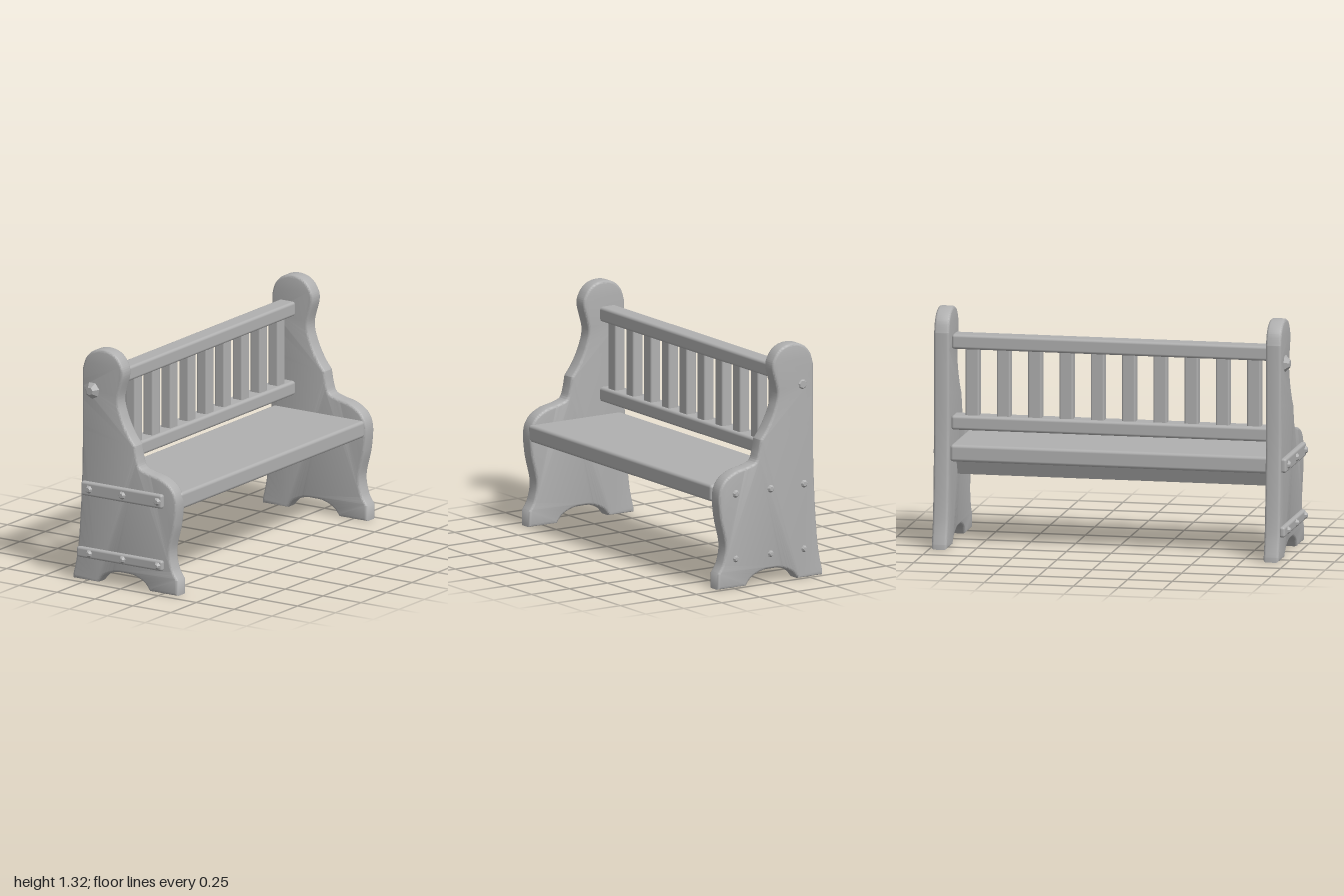
import * as THREE from 'three';
import { toCreasedNormals } from 'three/addons/utils/BufferGeometryUtils.js';
import { RoundedBoxGeometry } from 'three/addons/geometries/RoundedBoxGeometry.js';

const stone = new THREE.MeshStandardMaterial({ color: 0xb0b0b0 });
stone.name = 'plain grey';

function add(parent, name, geometry, x = 0, y = 0, z = 0) {
  const mesh = new THREE.Mesh(geometry, stone);
  mesh.name = name;
  mesh.position.set(x, y, z);
  parent.add(mesh);
  return mesh;
}

// Softly rounded beam given by its limits
function beam(parent, name, x0, x1, y0, y1, z0, z1, r = 0.012) {
  const geo = new RoundedBoxGeometry(x1 - x0, y1 - y0, z1 - z0, 2, r);
  return add(parent, name, geo, (x0 + x1) / 2, (y0 + y1) / 2, (z0 + z1) / 2);
}

// Scrolled side profile with a rounded head, arm rest and arched foot
function endPanelGeometry() {
  const s = new THREE.Shape();
  s.moveTo(-0.345, 0.003);
  s.lineTo(-0.345, 0.03);
  s.splineThru([[-0.318, 0.16], [-0.3, 0.36], [-0.287, 0.65], [-0.284, 1.0], [-0.284, 1.2]]
    .map(p => new THREE.Vector2(...p)));
  s.splineThru([[-0.262, 1.265], [-0.215, 1.31], [-0.145, 1.326], [-0.075, 1.308], [-0.03, 1.26],
    [-0.015, 1.195], [-0.047, 1.06], [-0.025, 0.96], [0.02, 0.87], [0.065, 0.81]]
    .map(p => new THREE.Vector2(...p)));
  s.splineThru([[0.078, 0.74], [0.098, 0.69], [0.15, 0.67], [0.235, 0.65], [0.305, 0.605],
    [0.337, 0.53], [0.328, 0.4], [0.295, 0.25], [0.31, 0.15], [0.345, 0.09]]
    .map(p => new THREE.Vector2(...p)));
  s.lineTo(0.345, 0.003);
  s.lineTo(0.16, 0.003);
  s.splineThru([[0.125, 0.045], [0.06, 0.074], [0, 0.079], [-0.07, 0.075], [-0.14, 0.045], [-0.18, 0.003]]
    .map(p => new THREE.Vector2(...p)));
  s.closePath();
  const geo = new THREE.ExtrudeGeometry(s, {
    depth: 0.056, curveSegments: 26, bevelEnabled: true,
    bevelThickness: 0.015, bevelSize: 0.015, bevelOffset: -0.015, bevelSegments: 3,
  });
  geo.translate(0, 0, -0.043);
  return toCreasedNormals(geo, 0.7);
}

// Faceted peg head pointing along +z
function peg(parent, x, y, z, radius, height) {
  const geo = new THREE.CylinderGeometry(radius * 0.45, radius, height, 7);
  geo.rotateX(Math.PI / 2);
  add(parent, 'pegHead', toCreasedNormals(geo, 0.5), x, y, z + height / 2);
}

export function createModel() {
  const model = new THREE.Group();
  model.name = 'bench';

  // Two end panels with their outer battens and pegs, mirrored by a half turn of z
  const panel = endPanelGeometry();
  for (const side of [1, -1]) {
    const end = new THREE.Group();
    end.name = side > 0 ? 'frontEnd' : 'backEnd';
    model.add(end);
    add(end, 'endPanel', panel, 0, 0, side * 0.928);
    const fittings = new THREE.Group();
    fittings.name = 'fittings';
    end.add(fittings);
    beam(fittings, 'seatBatten', -0.275, 0.26, 0.49, 0.57, 0.95, 0.985, 0.014);
    beam(fittings, 'footBatten', -0.305, 0.26, 0.135, 0.195, 0.95, 0.983, 0.014);
    for (const x of [-0.22, 0, 0.23]) {
      peg(fittings, x, 0.53, 0.98, 0.028, 0.018);
      peg(fittings, x, 0.165, 0.98, 0.024, 0.018);
    }
    peg(fittings, -0.21, 1.09, 0.965, 0.048, 0.028);
    // Pegs are symmetric, so a turn about x through the part height mirrors them
    if (side < 0) {
      for (const part of fittings.children) {
        part.position.z *= -1;
        part.rotation.y = Math.PI;
      }
    }
  }

  // Seat plank and the tapered stretcher below it
  beam(model, 'seat', -0.265, 0.337, 0.48, 0.575, -0.9, 0.9, 0.018);
  const s = new THREE.Shape([[-0.1, 0.49], [-0.05, 0.375], [0.05, 0.375], [0.1, 0.49]]
    .map(p => new THREE.Vector2(...p)));
  const stretcher = new THREE.ExtrudeGeometry(s, { depth: 1.8, bevelEnabled: false });
  add(model, 'stretcher', stretcher, 0, 0, -0.9);

  // Back rest rails
  beam(model, 'topRail', -0.225, -0.12, 1.1, 1.182, -0.9, 0.9, 0.016);
  beam(model, 'lowerRail', -0.235, -0.12, 0.652, 0.732, -0.9, 0.9, 0.016);

  // Ten upright slats
  for (let i = 0; i < 10; i++) {
    const z = (i - 4.5) * 0.175;
    beam(model, 'slat', -0.205, -0.14, 0.71, 1.12, z - 0.038, z + 0.038, 0.01);
  }
  return model;
}
